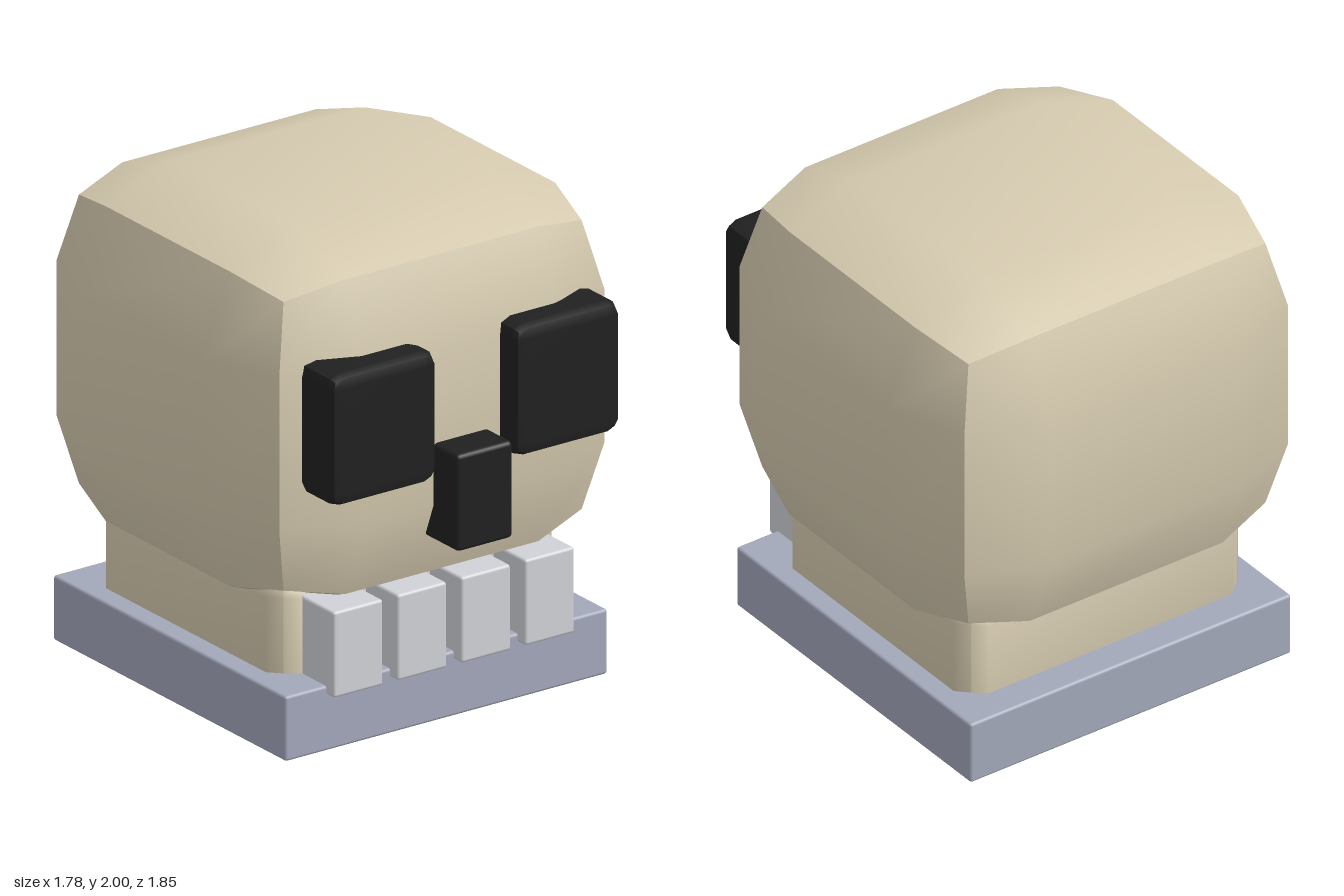
import * as THREE from 'three';
import { RoundedBoxGeometry } from 'three/addons/geometries/RoundedBoxGeometry.js';

const material = (name, color) => {
  const m = new THREE.MeshStandardMaterial({ color });
  m.name = name;
  return m;
};

// Box whose faces bulge: corner, edge and inner grid points are set as fractions of the half size.
// Each side keeps its own vertices, so it is smooth within and creased at the box edges.
function bulgedBox(w, h, d, corner, edge, inner) {
  const g = new THREE.BoxGeometry(2, 2, 2, 3, 3, 3);
  const p = g.attributes.position;
  for (let i = 0; i < p.count; i++) {
    const v = [p.getX(i), p.getY(i), p.getZ(i)];
    const outer = v.filter((c) => Math.abs(c) > 0.9).length;
    const reach = [0, 1, edge, corner][outer];
    const [x, y, z] = v.map((c, k) => Math.sign(c) * (Math.abs(c) > 0.9 ? reach : inner[k]));
    p.setXYZ(i, (x * w) / 2, (y * h) / 2, (z * d) / 2);
  }
  g.computeVertexNormals();
  return g;
}

export function createModel() {
  const bone = material('bone', 0xd6cbb0);
  const dark = material('socket black', 0x202020);
  const tooth = material('tooth white', 0xd0d2d7);
  const stone = material('base grey', 0xa3a8ba);

  const model = new THREE.Group();
  model.name = 'skullOnBase';
  const add = (name, geometry, mat, x, y, z) => {
    const mesh = new THREE.Mesh(geometry, mat);
    mesh.name = name;
    mesh.position.set(x, y, z);
    model.add(mesh);
  };

  // Base slab
  add('base', new RoundedBoxGeometry(1.5, 0.265, 1.5, 2, 0.012), stone, 0, 0.1325, -0.08);

  // Cranium and jaw
  add('cranium', bulgedBox(1.78, 1.51, 1.69, 0.78, 0.85, [0.506, 0.417, 0.475]), bone, 0, 1.245, -0.08);
  add('jaw', bulgedBox(1.33, 0.48, 1.21, 0.91, 0.93, [0.85, 0.75, 0.85]), bone, 0, 0.39, -0.09);

  // Eye sockets
  for (const side of [-1, 1]) {
    add(side < 0 ? 'rightEye' : 'leftEye',
      bulgedBox(0.495, 0.54, 0.34, 0.9, 0.94, [0.75, 0.8, 0.75]), dark, side * 0.427, 1.34, 0.7);
  }

  // Nose
  add('nose', new RoundedBoxGeometry(0.26, 0.395, 0.36, 2, 0.018), dark, 0, 0.985, 0.74);

  // Row of teeth
  const toothGeometry = new RoundedBoxGeometry(0.23, 0.35, 0.3, 2, 0.012);
  for (let i = 0; i < 4; i++) {
    add('tooth' + (i + 1), toothGeometry, tooth, (i - 1.5) * 0.297, 0.405, 0.57);
  }
  return model;
}
